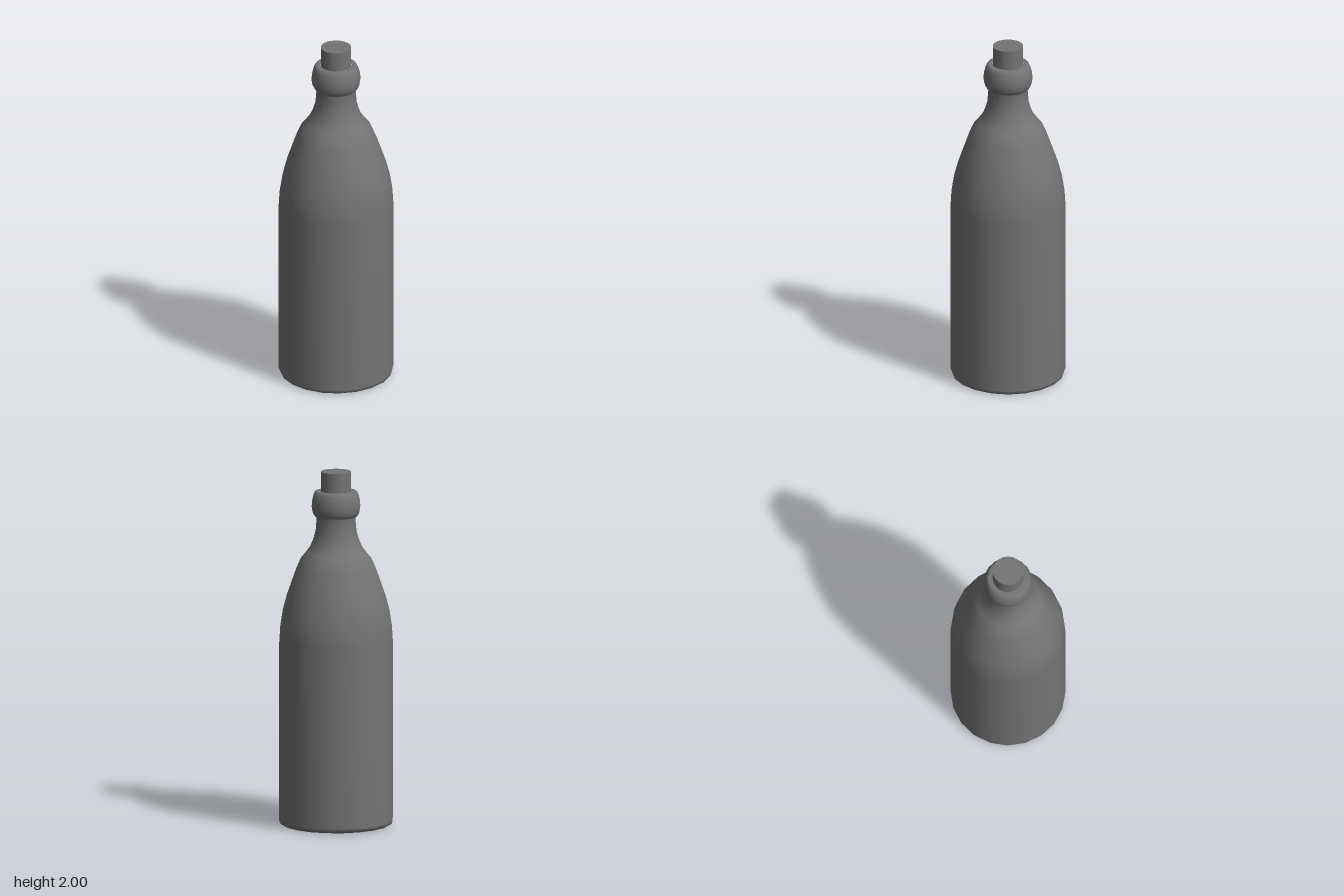
import * as THREE from 'three';

const SIDES = 20;

export function createModel() {
  const group = new THREE.Group();
  const material = new THREE.MeshStandardMaterial({ color: 0x747474 });

  // Bottle in one smooth turn, from the hollow base up to the mouth
  const profile = [
    // hollow base and foot
    [0, 0.1], [0.1, 0.092], [0.18, 0.07], [0.24, 0.04], [0.28, 0.01], [0.298, 0.002], [0.313, 0.01], [0.32, 0.03],
    // wall and shoulder
    [0.32, 1.04], [0.315, 1.12], [0.301, 1.21], [0.278, 1.295], [0.25, 1.375], [0.225, 1.445], [0.199, 1.505],
    // neck
    [0.168, 1.543], [0.145, 1.575], [0.127, 1.62], [0.115, 1.665], [0.109, 1.74],
    // rounded lip and mouth
    [0.121, 1.752], [0.132, 1.772], [0.137, 1.805], [0.134, 1.84], [0.126, 1.87],
    [0.117, 1.888], [0.108, 1.89], [0.086, 1.89],
  ];
  const bottle = new THREE.Mesh(
    new THREE.LatheGeometry(profile.map(([r, y]) => new THREE.Vector2(r, y)), SIDES),
    material,
  );
  bottle.name = 'bottle';
  group.add(bottle);

  // Stopper
  const cork = new THREE.Mesh(new THREE.CylinderGeometry(0.085, 0.085, 0.2, SIDES), material);
  cork.name = 'cork';
  cork.position.y = 1.9;
  group.add(cork);

  return group;
}
